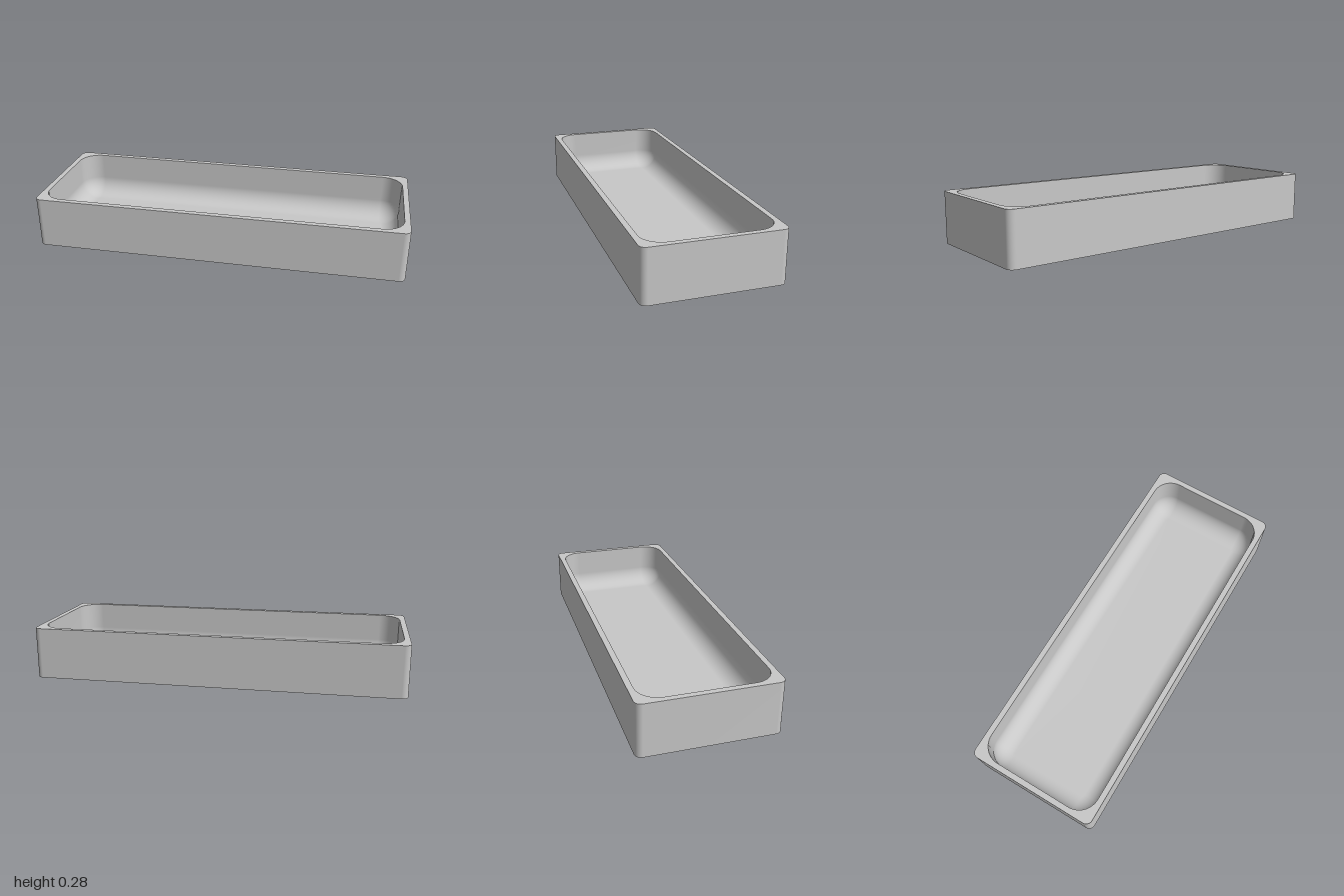
import * as THREE from 'three';

const HEIGHT = 0.278, HALF_X = 1, HALF_Z = 0.357, OUTER_R = 0.035;
const WALL = 0.03, FLOOR_Y = 0.03, INNER_R = 0.11, FILLET = 0.1;
const STEPS = 12; // segments per rounded corner

// Rounded-rectangle cross-section at height y
function ring(hx, hz, r, y) {
  const points = [];
  for (let q = 0; q < 4; q++) {
    const sx = q === 0 || q === 3 ? 1 : -1;
    const sz = q < 2 ? 1 : -1;
    for (let i = 0; i <= STEPS; i++) {
      const a = (q + i / STEPS) * Math.PI / 2;
      points.push([sx * (hx - r) + r * Math.cos(a), y, sz * (hz - r) + r * Math.sin(a)]);
    }
  }
  return points;
}

// Smooth skin through a series of cross-sections
function loft(rings) {
  const n = rings[0].length, index = [];
  for (let k = 0; k < rings.length - 1; k++) {
    for (let i = 0; i < n; i++) {
      const j = (i + 1) % n;
      const a = k * n + i, b = k * n + j, c = a + n, d = b + n;
      index.push(a, c, b, b, c, d);
    }
  }
  const geometry = new THREE.BufferGeometry();
  geometry.setAttribute('position', new THREE.Float32BufferAttribute(rings.flat(2), 3));
  geometry.setIndex(index);
  geometry.computeVertexNormals();
  return geometry;
}

export function createModel() {
  const group = new THREE.Group();
  group.name = 'tray';
  const grey = new THREE.MeshStandardMaterial({ color: 0xc8c8c8 });
  grey.name = 'light grey';

  const add = (name, rings) => {
    const mesh = new THREE.Mesh(loft(rings), grey);
    mesh.name = name;
    group.add(mesh);
  };
  const outer = y => ring(HALF_X, HALF_Z, OUTER_R, y);
  const inner = (inset, y) =>
    ring(HALF_X - WALL - inset, HALF_Z - WALL - inset, INNER_R - inset, y);

  // Flat underside, outer walls and top rim meet at sharp edges
  add('underside', [ring(0, 0, 0, 0), outer(0)]);
  add('outerWall', [outer(0), outer(HEIGHT)]);
  add('rim', [outer(HEIGHT), inner(0, HEIGHT)]);

  // Cavity: straight wall, quarter-round fillet, flat floor
  const cavity = [inner(0, HEIGHT)];
  for (let i = 0; i <= STEPS; i++) {
    const a = i / STEPS * Math.PI / 2;
    cavity.push(inner(FILLET * (1 - Math.cos(a)), FLOOR_Y + FILLET * (1 - Math.sin(a))));
  }
  cavity.push(ring(0, 0, 0, FLOOR_Y));
  add('cavity', cavity);

  return group;
}
